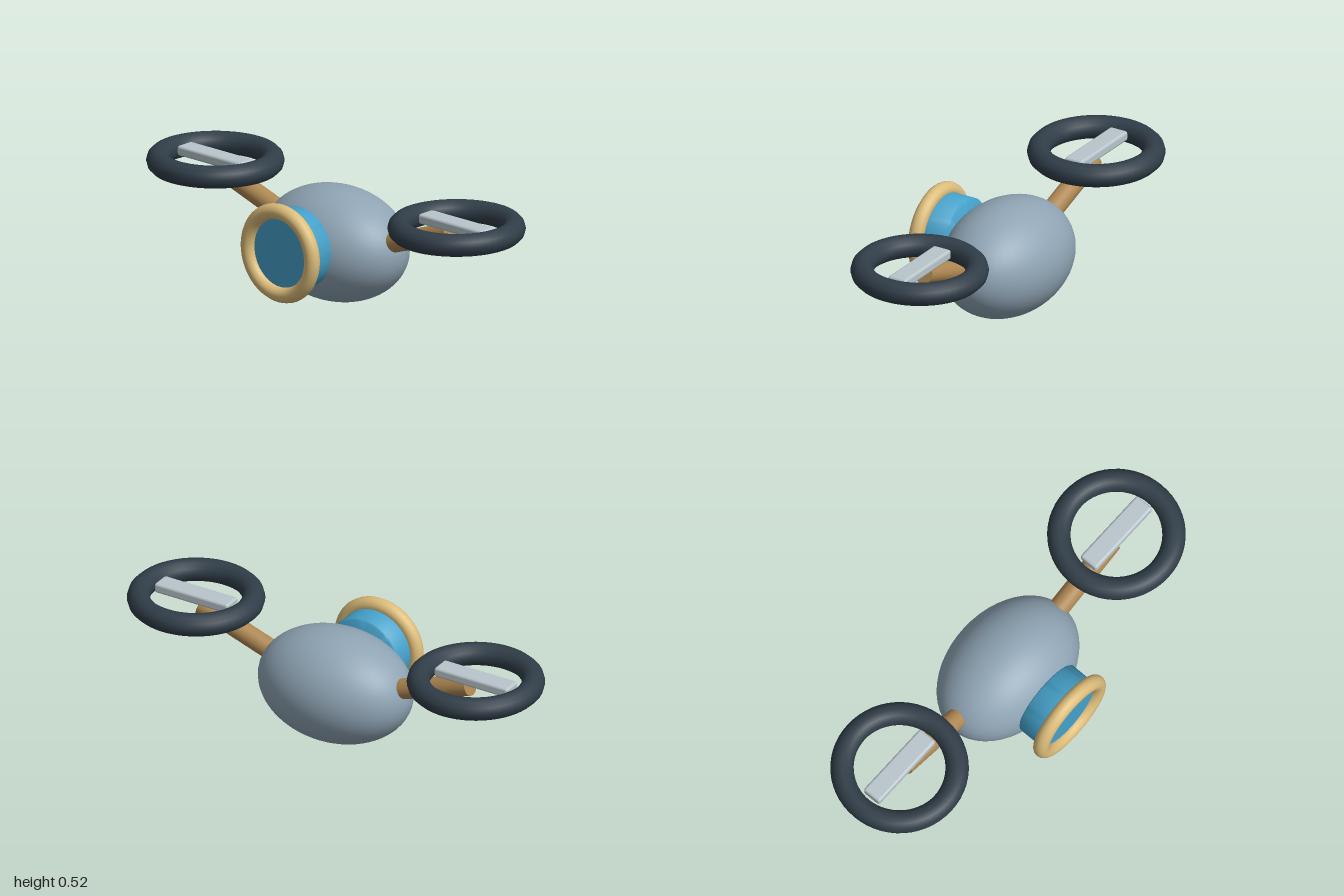
import * as THREE from 'three';
import { RoundedBoxGeometry } from 'three/addons/geometries/RoundedBoxGeometry.js';
import { toCreasedNormals } from 'three/addons/utils/BufferGeometryUtils.js';

const material = (name, color) => {
  const m = new THREE.MeshStandardMaterial({ color });
  m.name = name;
  return m;
};

export function createModel() {
  const shellGrey = material('shell grey', 0x8fa4b4);
  const lensBlue = material('lens blue', 0x45a2cb);
  const brass = material('pale brass', 0xdcbc7a);
  const bronze = material('bronze', 0xae8752);
  const rubber = material('dark slate', 0x303d48);
  const silver = material('silver', 0xb9c6cc);

  const model = new THREE.Group();
  model.name = 'drone';
  const add = (parent, name, geometry, mat, x = 0, y = 0, z = 0) => {
    const mesh = new THREE.Mesh(geometry, mat);
    mesh.name = name;
    mesh.position.set(x, y, z);
    parent.add(mesh);
    return mesh;
  };
  const axisZ = -0.044;

  // Egg-shaped hull
  add(model, 'hull', new THREE.SphereGeometry(1, 48, 32), shellGrey, 0, 0.251, axisZ)
    .scale.set(0.36, 0.251, 0.256);

  // Eye barrel, with a slightly eased back edge, and its rim
  const profile = [[0, 0], [0.171, 0], [0.177, 0.006], [0.177, 0.135], [0, 0.135]]
    .map(([r, h]) => new THREE.Vector2(r, h));
  const barrel = toCreasedNormals(new THREE.LatheGeometry(profile, 48), 0.9);
  barrel.rotateX(Math.PI / 2);
  add(model, 'eyeBarrel', barrel, lensBlue, 0, 0.283, 0.17);
  add(model, 'eyeRim', new THREE.TorusGeometry(0.185, 0.034, 16, 56), brass, 0, 0.283, 0.305);

  // Arm, ring and blade on each side
  for (const side of [1, -1]) {
    const rotor = new THREE.Group();
    rotor.name = side > 0 ? 'leftRotor' : 'rightRotor';
    model.add(rotor);

    const start = new THREE.Vector3(side * 0.2, 0.278, axisZ);
    const end = new THREE.Vector3(side * 0.675, 0.439, axisZ);
    const direction = end.clone().sub(start);
    const arm = add(rotor, 'arm', new THREE.CylinderGeometry(0.045, 0.045, direction.length(), 24), bronze);
    arm.position.copy(start).add(end).multiplyScalar(0.5);
    arm.quaternion.setFromUnitVectors(new THREE.Vector3(0, 1, 0), direction.normalize());

    const ring = new THREE.TorusGeometry(0.246, 0.05, 12, 56);
    ring.rotateX(Math.PI / 2);
    add(rotor, 'rotorRing', ring, rubber, side * 0.704, 0.468, axisZ);
    add(rotor, 'rotorBlade', new RoundedBoxGeometry(0.37, 0.045, 0.09, 2, 0.012), silver,
      side * 0.704, 0.479, axisZ);
  }
  return model;
}
